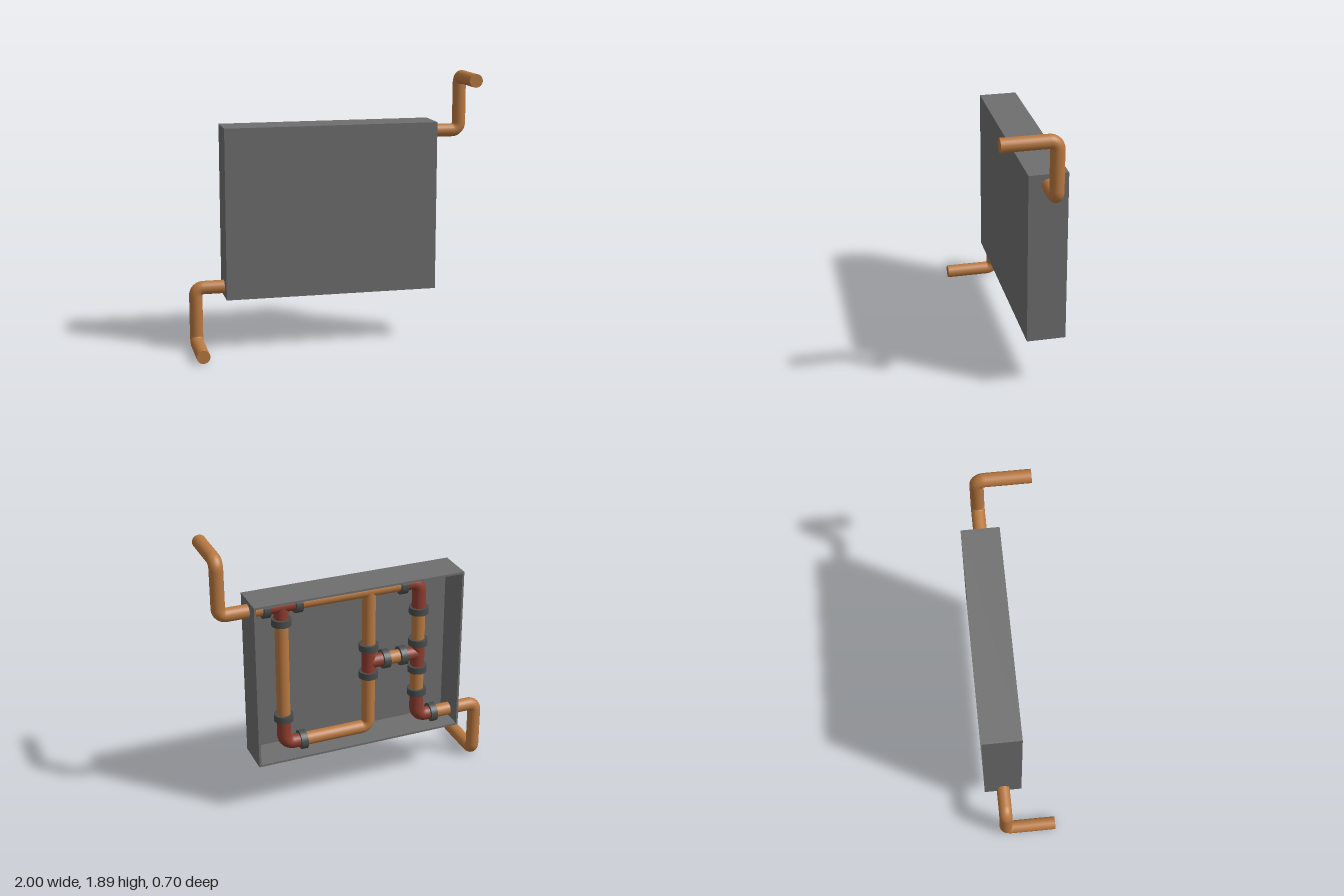
import * as THREE from 'three';

const mat = (color) => new THREE.MeshStandardMaterial({ color });
const V = (x, y, z = 0) => new THREE.Vector3(x, y, z);

export function createModel() {
  const model = new THREE.Group();
  model.name = 'pipeCabinet';
  const copper = mat(0xb87840), red = mat(0x8c3c2e), dark = mat(0x4a4c4c), steel = mat(0x6e6e6e);
  const R = 0.046;

  // cabinet and pipework are turned slightly about y
  const body = new THREE.Group();
  body.name = 'body';
  body.position.set(0.02, 0, -0.127);
  body.rotation.y = -0.1265;
  model.add(body);

  const add = (name, geo, material, parent = body) => {
    const m = new THREE.Mesh(geo, material);
    m.name = name;
    parent.add(m);
    return m;
  };

  // pipe through points with rounded corners and flat end caps
  function pipe(name, pts, material, r = R, bend = 0.052) {
    const path = new THREE.CurvePath();
    let from = pts[0];
    for (let i = 1; i < pts.length - 1; i++) {
      const p = pts[i];
      const inDir = p.clone().sub(pts[i - 1]).normalize();
      const outDir = pts[i + 1].clone().sub(p).normalize();
      const a = p.clone().addScaledVector(inDir, -bend);
      path.add(new THREE.LineCurve3(from, a));
      // quarter circle as a cubic
      const k = bend * 0.448;
      const b = p.clone().addScaledVector(outDir, bend);
      path.add(new THREE.CubicBezierCurve3(a, p.clone().addScaledVector(inDir, -k),
        p.clone().addScaledVector(outDir, k), b));
      from = b;
    }
    const last = pts[pts.length - 1];
    path.add(new THREE.LineCurve3(from, last));
    const g = new THREE.Group();
    g.name = name;
    body.add(g);
    add(name + 'Tube', new THREE.TubeGeometry(path, pts.length > 2 ? 140 : 1, r, 24), material, g);
    for (const [p, q] of [[pts[0], pts[1]], [last, pts[pts.length - 2]]]) {
      const cap = add(name + 'End', new THREE.CircleGeometry(r, 24), material, g);
      cap.position.copy(p);
      cap.quaternion.setFromUnitVectors(V(0, 0, 1), p.clone().sub(q).normalize());
    }
  }

  // ring around a pipe joint
  function collar(x, y, alongX = false) {
    const c = add('collar', new THREE.CylinderGeometry(0.067, 0.067, 0.048, 28), dark);
    c.position.set(x, y, 0);
    if (alongX) c.rotation.z = Math.PI / 2;
  }

  // open-backed cabinet
  const W = 1.482, H = 1.18, D = 0.26, T = 0.014, Y0 = 0.365;
  const panel = (name, w, h, d, x, y, z) =>
    add(name, new THREE.BoxGeometry(w, h, d), steel).position.set(x, y, z);
  panel('frontPanel', W, H, T, 0, Y0 + H / 2, D / 2 - T / 2);
  for (const s of [-1, 1]) {
    panel('sidePanel', T, H, D, s * (W - T) / 2, Y0 + H / 2, 0);
    panel(s > 0 ? 'topPanel' : 'bottomPanel', W, T, D, 0, Y0 + H / 2 + s * (H - T) / 2, 0);
  }

  const XL = 0.515, XM = -0.105, XR = -0.473; // vertical runs
  const YT = 1.47, YB = 0.432, YC = 0.933;    // horizontal runs

  // inlet and outlet outside the cabinet
  pipe('inletPipe', [V(XL + 0.1, YT), V(0.937, YT), V(0.937, 1.846), V(0.937, 1.846, 0.356)], copper);
  pipe('outletPipe', [V(XR - 0.1, YB), V(-0.937, YB), V(-0.937, R), V(-0.937, R, 0.356)], copper);

  // straight copper runs
  pipe('topPipe', [V(XL, YT), V(XR + 0.12, YT)], copper);
  pipe('leftPipe', [V(XL, YT - 0.1), V(XL, 0.64)], copper);
  pipe('rightPipe', [V(XR, 1.26), V(XR, 0.635)], copper);
  pipe('crossPipe', [V(XM, YC), V(XR, YC)], copper);
  pipe('middlePipe', [V(XM, YT), V(XM, YB), V(XL - 0.12, YB)], copper);

  // red elbows
  const RF = 0.048;
  pipe('topElbow', [V(XR + 0.13, YT), V(XR, YT), V(XR, 1.26)], red, RF, 0.07);
  pipe('outletElbow', [V(XR - 0.12, YB), V(XR, YB), V(XR, 0.635)], red, RF, 0.07);
  pipe('leftElbow', [V(XL - 0.13, YB), V(XL, YB), V(XL, 0.64)], red, RF, 0.07);
  collar(XR + 0.13, YT, true);
  collar(XR, 1.26);
  collar(XR - 0.12, YB, true);
  collar(XR, 0.635);
  collar(XL - 0.13, YB, true);
  collar(XL, 0.64);

  // red tees
  pipe('inletTee', [V(XL - 0.11, YT), V(XL + 0.11, YT)], red, RF);
  pipe('inletTeeBranch', [V(XL, YT), V(XL, YT - 0.11)], red, RF);
  collar(XL - 0.11, YT, true);
  collar(XL + 0.11, YT, true);
  collar(XL, YT - 0.115);
  for (const [x, y, s] of [[XM, 0.947, -1], [XR, 0.918, 1]]) {
    pipe('crossTee', [V(x, y - 0.103), V(x, y + 0.103)], red, RF);
    pipe('crossTeeBranch', [V(x, YC), V(x + s * 0.12, YC)], red, RF);
    collar(x, y - 0.103);
    collar(x, y + 0.103);
    collar(x + s * 0.12, YC, true);
  }
  return model;
}
